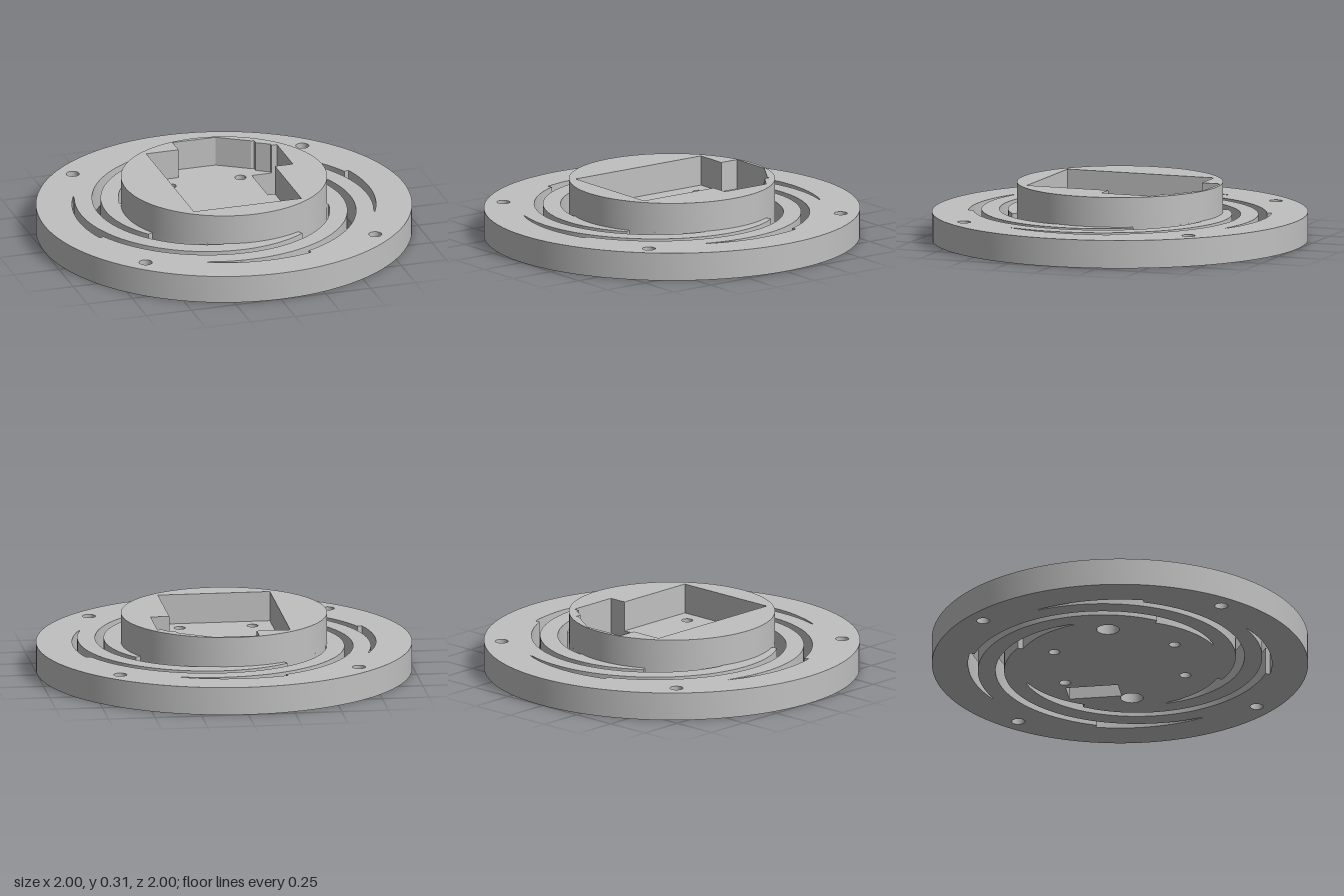
import * as THREE from 'three';
import { toCreasedNormals } from 'three/addons/utils/BufferGeometryUtils.js';

const BASE_TOP = 0.15, HUB_TOP = 0.31;
const HUB_R = 0.548, RING_R = 0.808;
const rad = THREE.MathUtils.degToRad;

// Plan coordinates (x, z) become shape coordinates (x, -z)
const plan = (pts) => pts.map(([x, z]) => new THREE.Vector2(x, -z));

function circle(x, z, r, n = 32) {
  const pts = [];
  for (let i = 0; i < n; i++) {
    const a = (i / n) * Math.PI * 2;
    pts.push(new THREE.Vector2(x + r * Math.cos(a), -z + r * Math.sin(a)));
  }
  return pts;
}

// Spiral slot between the flexible arms, with a stepped relief at either end
function spiralSlot(turn) {
  const inner = (a) => 0.803 - 0.00157 * (a - 65);
  const outer = (a) => inner(a) + 0.046;
  const pts = [];
  const sweep = (from, to, radius) => {
    const n = Math.ceil(Math.abs(to - from) / 3);
    for (let i = 0; i <= n; i++) {
      const a = from + ((to - from) * i) / n;
      const r = radius(a), t = rad(a + turn);
      pts.push(new THREE.Vector2(r * Math.cos(t), r * Math.sin(t)));
    }
  };
  sweep(65, 107.5, () => RING_R);
  sweep(107.5, 252, outer);
  sweep(252, 208.4, () => HUB_R);
  sweep(208.4, 66, inner);
  return pts;
}

// Upright plate from an outline with holes, standing between two heights
function plate(name, outline, holes, y0, y1, material) {
  const shape = new THREE.Shape(outline);
  holes.forEach((h) => shape.holes.push(new THREE.Path(h)));
  let geo = new THREE.ExtrudeGeometry(shape, { depth: y1 - y0, bevelEnabled: false });
  geo.rotateX(-Math.PI / 2);
  geo.translate(0, y0, 0);
  geo = toCreasedNormals(geo, rad(30));
  geo.clearGroups();
  const mesh = new THREE.Mesh(geo, material);
  mesh.name = name;
  return mesh;
}

export function createModel() {
  const group = new THREE.Group();
  group.name = 'flexureMount';
  const grey = new THREE.MeshStandardMaterial({ color: 0xc0c0c0 });
  grey.name = 'plain grey';

  // Base disc: slots, screw holes, cable opening and round sockets
  const holes = [0, 90, 180, 270].map(spiralSlot);
  for (const sx of [-1, 1]) {
    for (const sz of [-1, 1]) {
      holes.push(circle(sx * 0.64, sz * 0.64, 0.035));
      holes.push(circle(sx * 0.195, sz * 0.323, 0.03));
    }
    holes.push(circle(sx * 0.435, 0, 0.06));
  }
  holes.push(plan([[0.26, -0.33], [0.4, -0.33], [0.4, -0.05], [0.26, -0.05]]));
  group.add(plate('baseDisc', circle(0, 0, 1, 128), holes, 0, BASE_TOP, grey));

  // Raised hub with the board-shaped pocket
  const pocket = plan([
    [-0.3, -0.42], [-0.12, -0.42], [-0.12, -0.525], [0.12, -0.525],
    [0.285, -0.42], [0.3, -0.42], [0.3, -0.39], [0.37, -0.345], [0.37, -0.33],
    [0.4, -0.33], [0.4, -0.05], [0.3, -0.05], [0.3, 0.415], [-0.3, 0.415],
  ]);
  group.add(plate('hub', circle(0, 0, HUB_R, 128), [pocket], BASE_TOP, HUB_TOP, grey));

  return group;
}
